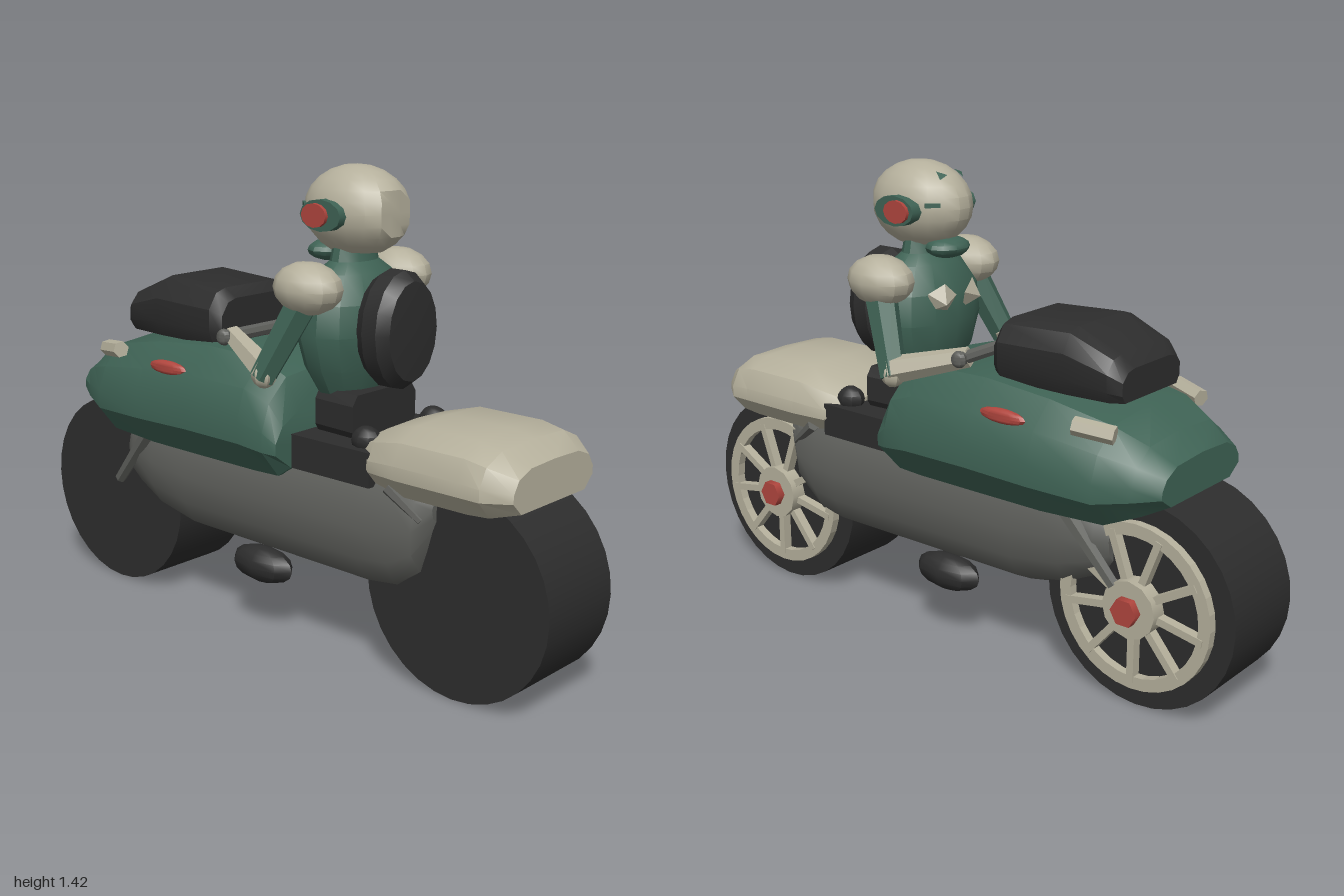
import * as THREE from 'three';
import { toCreasedNormals } from 'three/addons/utils/BufferGeometryUtils.js';

const mat = (name, color, side = THREE.FrontSide) => {
  const m = new THREE.MeshStandardMaterial({ color, side });
  m.name = name;
  return m;
};

// Loft along z: half profile [x, y] in unit fractions, sections [z, halfWidth, yBottom, yTop] from +z to -z
function loft(profile, sections, crease = 0.5) {
  const mirrored = profile.filter(p => p[0] > 0).reverse().map(([x, y]) => [-x, y]);
  const ring = [...profile, ...mirrored];
  const n = ring.length, pos = [];
  const pt = (i, j) => {
    const [z, w, b, t] = sections[i], [x, y] = ring[j % n];
    return [x * w, b + y * (t - b), z];
  };
  const tri = (...pts) => pts.forEach(p => pos.push(...p));
  for (let i = 0; i < sections.length - 1; i++) {
    for (let j = 0; j < n; j++) {
      tri(pt(i, j), pt(i + 1, j), pt(i, j + 1));
      tri(pt(i, j + 1), pt(i + 1, j), pt(i + 1, j + 1));
    }
  }
  const last = sections.length - 1;
  for (let j = 1; j < n - 1; j++) {
    tri(pt(0, 0), pt(0, j), pt(0, j + 1));
    tri(pt(last, 0), pt(last, j + 1), pt(last, j));
  }
  const g = new THREE.BufferGeometry();
  g.setAttribute('position', new THREE.Float32BufferAttribute(pos, 3));
  return toCreasedNormals(g, crease);
}

export function createModel() {
  const model = new THREE.Group();
  model.name = 'motorcycleWithRider';
  const green = mat('green', 0x3f6355), cream = mat('cream', 0xb5b09c), black = mat('black', 0x2d2d2d);
  const grey = mat('grey', 0x5f605c), red = mat('red', 0xb0463e);

  const add = (name, geo, material, x = 0, y = 0, z = 0, parent = model) => {
    const m = new THREE.Mesh(geo, material);
    m.name = name;
    m.position.set(x, y, z);
    parent.add(m);
    return m;
  };
  const ball = (name, material, p, s, seg = 12) =>
    add(name, toCreasedNormals(new THREE.SphereGeometry(1, seg, 8).scale(...s), 0.7), material, ...p);
  // Tapered rod from point a to point b
  const limb = (name, material, a, b, ra, rb, sides = 6) => {
    const A = new THREE.Vector3(...a), B = new THREE.Vector3(...b), d = B.clone().sub(A);
    const g = toCreasedNormals(new THREE.CylinderGeometry(rb, ra, d.length(), sides), 0.4);
    const m = add(name, g, material, ...A.clone().add(B).multiplyScalar(0.5));
    m.quaternion.setFromUnitVectors(new THREE.Vector3(0, 1, 0), d.normalize());
    return m;
  };
  // Disc whose axis runs along x
  const disc = (name, material, r, x0, x1, y, z, sides, parent = model, sy = 1, sz = 1) =>
    add(name, new THREE.CylinderGeometry(r, r, x1 - x0, sides).rotateZ(-Math.PI / 2).scale(1, sy, sz),
      material, (x0 + x1) / 2, y, z, parent);

  // Wheels, spoked on the +x face
  const rimShape = new THREE.Shape().absarc(0, 0, 0.245, 0, Math.PI * 2);
  rimShape.holes.push(new THREE.Path().absarc(0, 0, 0.208, 0, Math.PI * 2));
  for (const z of [0.695, -0.695]) {
    const wheel = new THREE.Group();
    wheel.name = z > 0 ? 'rearWheel' : 'frontWheel';
    wheel.position.set(0, 0.305, z);
    model.add(wheel);
    disc('tyre', black, 0.305, -0.15, 0.145, 0, 0, 32, wheel);
    const rim = new THREE.ExtrudeGeometry(rimShape, { depth: 0.03, bevelEnabled: false, curveSegments: 16 });
    add('rim', rim.rotateY(Math.PI / 2), cream, 0.142, 0, 0, wheel);
    for (let i = 0; i < 9; i++) {
      const spoke = new THREE.BoxGeometry(0.03, 0.17, 0.022).translate(0, -0.14, 0);
      add('spoke', spoke, cream, 0.16, 0, 0, wheel).rotation.x = i * Math.PI * 2 / 9;
    }
    disc('hub', cream, 0.085, 0.14, 0.195, 0, 0, 12, wheel);
    disc('hubCap', red, 0.042, 0.19, 0.22, 0, 0, 6, wheel);
  }

  // Lower engine body
  add('engineBody', loft(
    [[0.5, 0], [0.8, 0.1], [0.97, 0.3], [1, 0.55], [0.93, 0.85], [0.75, 1]],
    [[0.63, 0.17, 0.48, 0.58], [0.58, 0.2, 0.32, 0.59], [0.5, 0.21, 0.26, 0.6], [0.4, 0.22, 0.25, 0.6],
      [-0.3, 0.22, 0.255, 0.6], [-0.46, 0.21, 0.285, 0.6], [-0.57, 0.195, 0.34, 0.58], [-0.61, 0.17, 0.38, 0.55]],
    0.8), grey);

  // Front fairing
  add('fairing', loft(
    [[0.77, 0], [1, 0.27], [1, 0.46], [0.9, 0.72], [0.65, 0.94], [0, 1]],
    [[0.15, 0.275, 0.565, 0.74], [0.11, 0.29, 0.535, 0.84], [0.02, 0.3, 0.535, 0.885], [-0.2, 0.3, 0.535, 0.89],
      [-0.42, 0.298, 0.535, 0.87], [-0.62, 0.278, 0.54, 0.83], [-0.72, 0.235, 0.58, 0.78], [-0.79, 0.195, 0.615, 0.73]]), green);

  // Padded box on the fairing
  add('topBox', loft(
    [[0.9, 0], [1, 0.25], [1, 0.65], [0.82, 0.93], [0.6, 1]],
    [[-0.19, 0.15, 0.86, 1.0], [-0.22, 0.175, 0.86, 1.03], [-0.45, 0.178, 0.86, 1.042],
      [-0.585, 0.165, 0.86, 0.985], [-0.62, 0.14, 0.86, 0.95]]), black);

  // Tail cowl and seat
  add('tailCowl', loft(
    [[0.8, 0], [1, 0.3], [1, 0.5], [0.88, 0.8], [0.6, 0.97], [0, 1]],
    [[0.9, 0.185, 0.58, 0.7], [0.83, 0.238, 0.565, 0.74], [0.76, 0.24, 0.56, 0.755], [0.55, 0.24, 0.56, 0.755],
      [0.44, 0.215, 0.565, 0.725], [0.36, 0.17, 0.63, 0.68]]), cream);
  add('seat', new THREE.BoxGeometry(0.42, 0.1, 0.32), black, 0, 0.615, 0.28);
  add('hips', loft([[0.8, 0], [1, 0.3], [1, 0.8], [0.85, 1]],
    [[0.32, 0.14, 0.64, 0.79], [0.17, 0.13, 0.64, 0.79]]), black);

  // Torso, neck and back pack
  const torsoProfile = [[0, 0.76], [0.12, 0.77], [0.17, 0.85], [0.2, 0.95], [0.19, 1.04], [0.13, 1.12], [0.085, 1.15], [0.075, 1.19]]
    .map(p => new THREE.Vector2(...p));
  add('torso', toCreasedNormals(new THREE.LatheGeometry(torsoProfile, 14).scale(1, 1, 0.66), 0.5), green, 0, 0, 0.2);
  const packProfile = [[0.11, 0], [0.125, 0.03], [0.125, 0.08], [0.105, 0.115], [0, 0.125]].map(p => new THREE.Vector2(...p));
  add('backPack', toCreasedNormals(new THREE.LatheGeometry(packProfile, 16).rotateX(Math.PI / 2).scale(1, 1.36, 1), 0.4),
    black, 0, 0.968, 0.305);

  // Helmet: ellipsoid with flattened back and underside
  const helmet = new THREE.SphereGeometry(1, 18, 12).scale(0.125, 0.13, 0.17);
  const hp = helmet.attributes.position;
  for (let i = 0; i < hp.count; i++) {
    hp.setY(i, Math.max(hp.getY(i), -0.115));
    hp.setZ(i, Math.min(hp.getZ(i), 0.14));
  }
  add('helmet', toCreasedNormals(helmet, 0.5), cream, 0, 1.29, 0.21);
  ball('chinGuard', green, [0, 1.17, 0.11], [0.075, 0.032, 0.06], 10);

  // Handlebar
  limb('handlebar', grey, [-0.21, 0.91, -0.115], [0.21, 0.91, -0.115], 0.02, 0.02, 8);
  limb('steeringStem', grey, [0, 0.85, -0.14], [0, 0.91, -0.115], 0.03, 0.025, 8);

  // Mirrored parts
  for (const s of [1, -1]) {
    ball('shoulderPad', cream, [s * 0.195, 1.09, 0.2], [0.085, 0.075, 0.11]);
    limb('upperArm', green, [s * 0.2, 1.07, 0.2], [s * 0.265, 0.83, 0.09], 0.05, 0.04);
    limb('forearm', cream, [s * 0.262, 0.85, 0.1], [s * 0.175, 0.91, -0.12], 0.042, 0.03);
    ball('elbow', cream, [s * 0.265, 0.84, 0.095], [0.035, 0.04, 0.04], 6);
    ball('barEnd', grey, [s * 0.215, 0.91, -0.115], [0.02, 0.025, 0.025], 8);
    ball('seatLump', black, [s * 0.15, 0.68, 0.38], [0.04, 0.04, 0.045], 8);
    ball('footPeg', black, [s * 0.155, 0.215, -0.02], [0.055, 0.056, 0.12], 8);

    // Angular chest plate
    const plate = new THREE.ConeGeometry(0.05, 0.04, 5).rotateX(-Math.PI / 2);
    add('chestPlate', toCreasedNormals(plate, 0.2), cream, s * 0.07, 1.02, 0.065).rotation.set(-0.3, -s * 0.4, 0);

    // Helmet side discs
    const ear = [[green, 0.045, 1.67, 0.1, 0.142, 0.195], [red, 0.034, 1.35, 0.12, 0.153, 0.18]];
    for (const [m, r, sz, a, b, z] of ear) {
      disc(m === red ? 'earCap' : 'earDisc', m, r, s > 0 ? a : -b, s > 0 ? b : -a, 1.285, z, 12, model, 1, sz);
    }
    // Triangular brow mark and cheek slit
    const mark = add('browMark', new THREE.CircleGeometry(0.02, 3), green, s * 0.041, 1.386, 0.098);
    mark.lookAt(s * 0.3, 2.2, -0.5);
    const slit = add('cheekSlit', new THREE.BoxGeometry(0.008, 0.012, 0.045), green, s * 0.089, 1.305, 0.09);
    slit.rotation.y = s * 0.75;

    // Fairing details
    ball('sideLamp', red, [s * 0.262, 0.795, -0.31], [0.018, 0.022, 0.08]);
    limb('frontLamp', cream, [s * 0.25, 0.815, -0.54], [s * 0.213, 0.8, -0.65], 0.026, 0.026);

    // Fork and rear strut
    limb('fork', grey, [s * 0.2, 0.57, -0.46], [s * 0.185, 0.36, -0.64], 0.025, 0.018);
    limb('rearStrut', grey, [s * 0.2, 0.58, 0.5], [s * 0.18, 0.5, 0.6], 0.02, 0.012);
  }
  return model;
}
